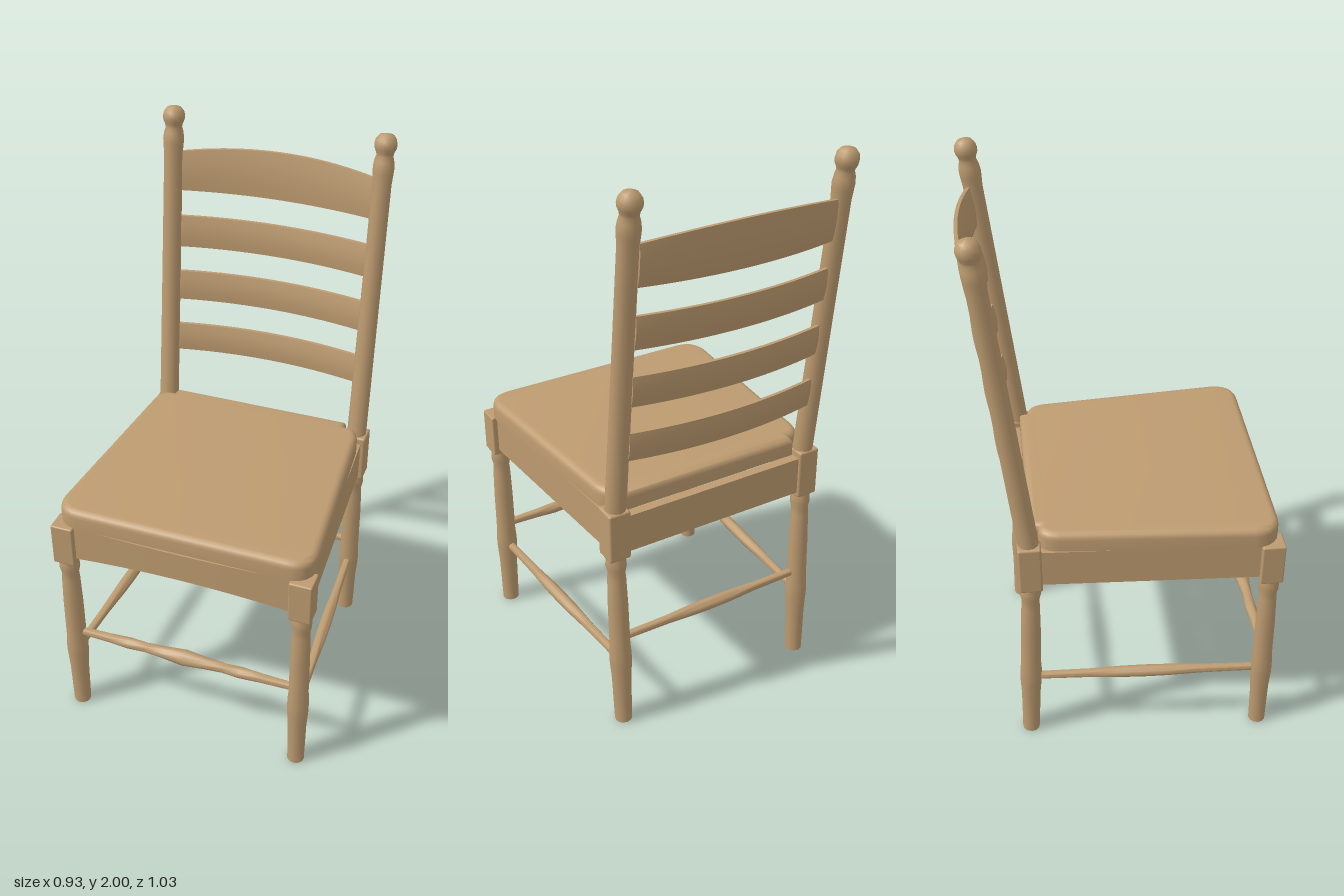
import * as THREE from 'three';
import { toCreasedNormals } from 'three/addons/utils/BufferGeometryUtils.js';
import { RoundedBoxGeometry } from 'three/addons/geometries/RoundedBoxGeometry.js';

const wood = new THREE.MeshStandardMaterial({ color: 0xbd9b70 });
const V = (x, y, z) => new THREE.Vector3(x, y, z);

function add(parent, name, geometry) {
  const mesh = new THREE.Mesh(geometry, wood);
  mesh.name = name;
  parent.add(mesh);
  return mesh;
}

// Move every vertex by a rule, then rebuild normals with sharp edges kept
function reshape(geometry, rule) {
  const p = geometry.attributes.position, v = V(0, 0, 0);
  for (let i = 0; i < p.count; i++) {
    rule(v.fromBufferAttribute(p, i));
    p.setXYZ(i, v.x, v.y, v.z);
  }
  return toCreasedNormals(geometry, 0.8);
}

// Turned piece: profile of [radius, position 0..1] stretched from a to b
function turned(parent, name, profile, a, b, sides = 12) {
  const length = a.distanceTo(b);
  const points = [[0, 0], ...profile, [0, 1]].map(([r, t]) => new THREE.Vector2(r, t * length));
  const mesh = add(parent, name, toCreasedNormals(new THREE.LatheGeometry(points, sides), 0.9));
  mesh.position.copy(a);
  mesh.quaternion.setFromUnitVectors(V(0, 1, 0), b.clone().sub(a).normalize());
  return mesh;
}

// Straight board between two floor points
function board(parent, name, a, b, y, height, thickness) {
  const d = b.clone().sub(a);
  const mesh = add(parent, name, new THREE.BoxGeometry(d.length(), height, thickness));
  mesh.position.set((a.x + b.x) / 2, y, (a.z + b.z) / 2);
  mesh.rotation.y = Math.atan2(-d.z, d.x);
  return mesh;
}

const LEG = [[0.031, 0], [0.034, 0.25], [0.039, 0.36], [0.039, 0.41], [0.036, 0.47],
  [0.035, 0.7], [0.032, 0.86], [0.03, 0.89], [0.036, 0.93], [0.035, 0.96], [0.031, 1]];
const POST = [[0.036, 0], [0.034, 0.5], [0.033, 0.85], [0.036, 0.885], [0.037, 0.9], [0.034, 0.92],
  [0.029, 0.935], [0.031, 0.945], [0.037, 0.956], [0.039, 0.968], [0.036, 0.982], [0.025, 0.995]];
const ROD = [[0.014, 0], [0.016, 0.25], [0.021, 0.4], [0.022, 0.5], [0.021, 0.6], [0.016, 0.75], [0.014, 1]];
const SPINDLE = [[0.014, 0], [0.017, 0.15], [0.021, 0.24], [0.018, 0.32], [0.022, 0.4], [0.03, 0.5],
  [0.022, 0.6], [0.018, 0.68], [0.021, 0.76], [0.017, 0.85], [0.014, 1]];

// Centre line of the leaning back posts
const postZ = y => -0.345 - (y - 0.88) * 0.113;

function createModel() {
  const chair = new THREE.Group();
  chair.name = 'ladderBackChair';

  // Legs, posts and side rails, mirrored
  for (const s of [-1, 1]) {
    const side = s > 0 ? 'left' : 'right';
    turned(chair, side + 'FrontLeg', LEG, V(s * 0.425, 0, 0.475), V(s * 0.425, 0.71, 0.475));
    turned(chair, side + 'RearLeg', LEG, V(s * 0.375, 0, -0.37), V(s * 0.38, 0.71, -0.345));
    add(chair, side + 'FrontBlock', new RoundedBoxGeometry(0.08, 0.16, 0.08, 2, 0.006))
      .position.set(s * 0.425, 0.78, 0.475);
    add(chair, side + 'RearBlock', new RoundedBoxGeometry(0.08, 0.185, 0.08, 2, 0.008))
      .position.set(s * 0.38, 0.792, -0.344);
    turned(chair, side + 'BackPost', POST, V(s * 0.377, 0.87, postZ(0.87)), V(s * 0.377, 2, postZ(2)));

    board(chair, side + 'Apron', V(s * 0.43, 0, 0.45), V(s * 0.387, 0, -0.32), 0.79, 0.14, 0.032);
    turned(chair, side + 'Stretcher', ROD, V(s * 0.422, 0.265, 0.46), V(s * 0.378, 0.265, -0.355));

    // Diagonal braces inside the frame corners
    board(chair, side + 'FrontBrace', V(s * 0.425, 0, 0.36), V(s * 0.31, 0, 0.475), 0.81, 0.07, 0.03);
    board(chair, side + 'RearBrace', V(s * 0.385, 0, -0.24), V(s * 0.29, 0, -0.335), 0.81, 0.07, 0.03);
  }

  // Front apron: arched lower edge and a slight forward bow
  const front = reshape(new THREE.BoxGeometry(0.79, 0.14, 0.032, 24, 1, 1), v => {
    const k = 1 - (v.x / 0.395) ** 2;
    if (v.y < 0) v.y += 0.03 * k;
    v.z += 0.012 * k;
  });
  add(chair, 'frontApron', front).position.set(0, 0.79, 0.479);
  board(chair, 'rearApron', V(-0.36, 0, -0.358), V(0.36, 0, -0.358), 0.79, 0.14, 0.034);

  // Cross stretchers
  turned(chair, 'frontStretcher', SPINDLE, V(-0.41, 0.355, 0.475), V(0.41, 0.355, 0.475));
  turned(chair, 'rearStretcher', ROD, V(-0.365, 0.355, -0.357), V(0.365, 0.355, -0.357));

  // Tapered seat with rounded edges, notched around the posts
  const bevel = 0.025;
  const seat = new THREE.Shape();
  seat.moveTo(-0.37, -0.475);
  seat.lineTo(0.37, -0.475);
  seat.quadraticCurveTo(0.43, -0.475, 0.43, -0.41);
  seat.lineTo(0.378, 0.24);
  seat.quadraticCurveTo(0.372, 0.285, 0.35, 0.285);
  seat.lineTo(0.32, 0.285);
  seat.lineTo(0.315, 0.315);
  seat.lineTo(-0.315, 0.315);
  seat.lineTo(-0.32, 0.285);
  seat.lineTo(-0.35, 0.285);
  seat.quadraticCurveTo(-0.372, 0.285, -0.378, 0.24);
  seat.lineTo(-0.43, -0.41);
  seat.quadraticCurveTo(-0.43, -0.475, -0.37, -0.475);
  const cushion = new THREE.ExtrudeGeometry(seat, {
    depth: 0.07 - bevel, bevelEnabled: true, bevelSize: bevel, bevelThickness: bevel,
    bevelSegments: 4, curveSegments: 6,
  });
  cushion.rotateX(-Math.PI / 2);
  // Flatten the lower bevel so the underside sits square on the frame
  add(chair, 'seat', reshape(cushion, v => { v.y = Math.max(v.y, 0); })).position.y = 0.86;

  // Curved back slats: [bottom, top, rise at the middle]
  const slats = [[1.08, 1.185, 0], [1.285, 1.395, 0], [1.49, 1.605, 0], [1.7, 1.84, 0.025]];
  slats.forEach(([low, high, rise], i) => {
    const slat = new THREE.BoxGeometry(0.7, high - low, 0.024, 28, 4, 1);
    slat.translate(0, (low + high) / 2, 0);
    add(chair, 'backSlat' + (i + 1), reshape(slat, v => {
      const k = 1 - (v.x / 0.35) ** 2;
      const t = (v.y - low) / (high - low);
      v.z *= 1 - 0.5 * (2 * t - 1) ** 2;
      v.y += rise * k * t;
      v.z += postZ(v.y) - 0.015 - 0.038 * k;
    }));
  });

  return chair;
}

export { createModel };
